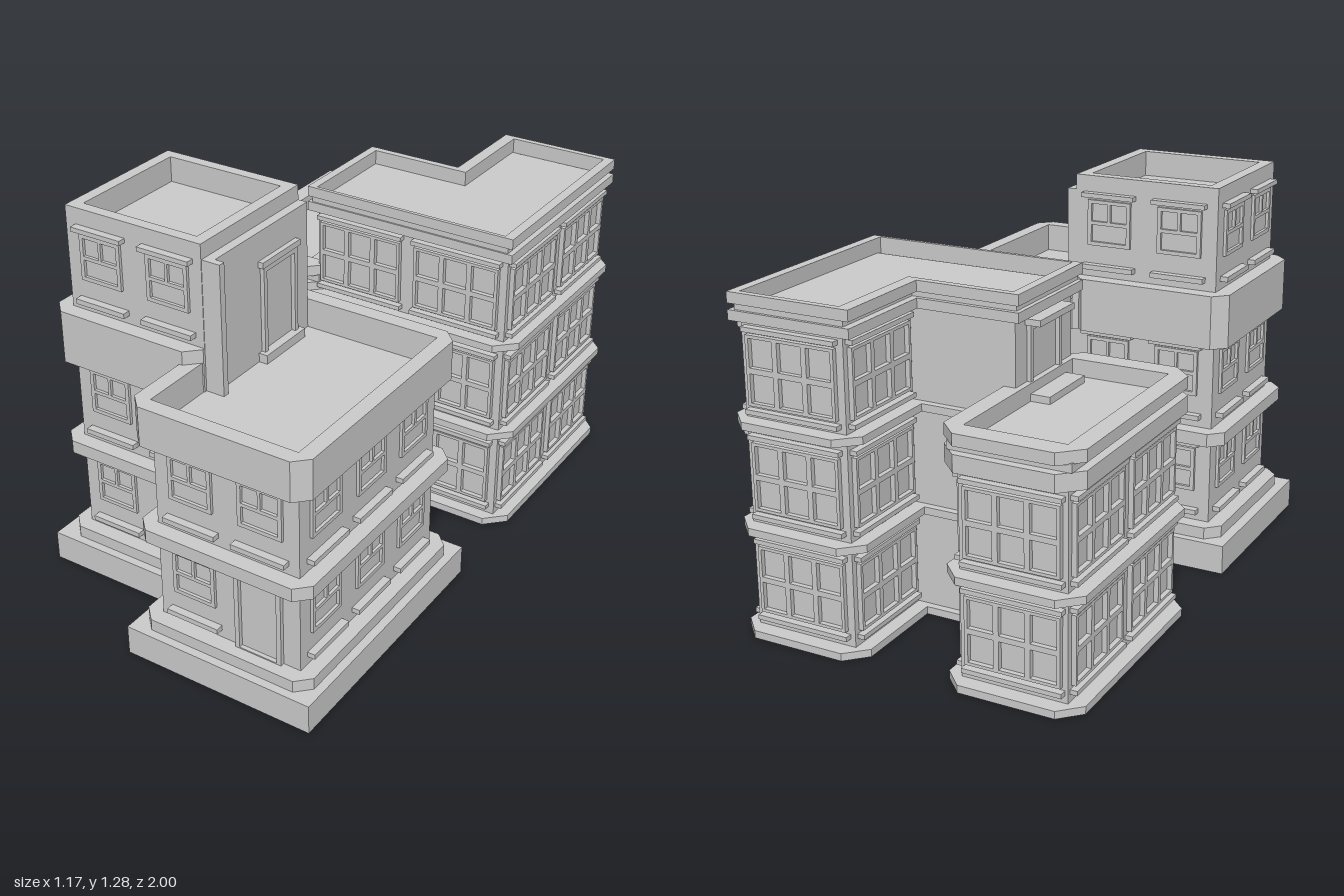
import * as THREE from 'three';

const mat = new THREE.MeshStandardMaterial({ color: 0xcccccc, flatShading: true });
const FRONT = 0, RIGHT = Math.PI / 2, BACK = Math.PI, LEFT = -Math.PI / 2;

function add(parent, name, geo) {
  const m = new THREE.Mesh(geo, mat);
  m.name = name;
  parent.add(m);
  return m;
}

// Box given by its two extreme corners
function box(parent, name, x0, x1, y0, y1, z0, z1) {
  const m = add(parent, name, new THREE.BoxGeometry(x1 - x0, y1 - y0, z1 - z0));
  m.position.set((x0 + x1) / 2, (y0 + y1) / 2, (z0 + z1) / 2);
  return m;
}

const toPoints = list => list.map(([x, z]) => new THREE.Vector2(x, -z));

// Upright prism over a plan outline in x, z, with optional hole
function prism(parent, name, outline, y0, y1, hole) {
  const s = new THREE.Shape(toPoints(outline));
  if (hole) s.holes.push(new THREE.Path(toPoints(hole)));
  const g = new THREE.ExtrudeGeometry(s, { depth: y1 - y0, bevelEnabled: false });
  g.rotateX(-Math.PI / 2).translate(0, y0, 0);
  return add(parent, name, g);
}

const rect = (x0, x1, z0, z1) => [[x0, z0], [x0, z1], [x1, z1], [x1, z0]];

// Rectangle with cut corners
const cut = (x0, x1, z0, z1, c) => [
  [x0 + c, z0], [x0, z0 + c], [x0, z1 - c], [x0 + c, z1],
  [x1 - c, z1], [x1, z1 - c], [x1, z0 + c], [x1 - c, z0]];

// Group sitting on a wall, its local +z pointing outwards
function onWall(parent, name, x, y, z, turn) {
  const g = new THREE.Group();
  g.name = name;
  g.position.set(x, y, z);
  g.rotation.y = turn;
  parent.add(g);
  return g;
}

// Flat frame of size w x h with rectangular openings [x0, x1, y0, y1]
function frame(parent, name, w, h, openings, depth) {
  const s = new THREE.Shape(toPoints(rect(-w / 2, w / 2, -h, 0)));
  for (const [a, b, c, d] of openings) s.holes.push(new THREE.Path(toPoints(rect(a, b, -d, -c))));
  return add(parent, name, new THREE.ExtrudeGeometry(s, { depth, bevelEnabled: false }));
}

// Sash window with one lower and two upper panes
function sashWindow(parent, x, y, z, turn) {
  const g = onWall(parent, 'sashWindow', x, y, z, turn);
  frame(g, 'windowFrame', 0.153, 0.153, [
    [-0.063, 0.063, 0.013, 0.07], [-0.063, -0.005, 0.082, 0.141], [0.005, 0.063, 0.082, 0.141]], 0.01);
  box(g, 'sill', -0.093, 0.093, -0.08, -0.063, -0.005, 0.026);
  box(g, 'lintel', -0.093, 0.093, 0.163, 0.178, -0.005, 0.026);
}

// Wide window: three columns by two rows
function gridWindow(parent, x, y, z, turn) {
  const g = onWall(parent, 'gridWindow', x, y, z, turn);
  const openings = [];
  for (const c of [-1, 0, 1])
    for (const r of [0, 1])
      openings.push([c * 0.102 - 0.042, c * 0.102 + 0.042, 0.01 + r * 0.109, 0.101 + r * 0.109]);
  frame(g, 'windowGrid', 0.31, 0.22, openings, 0.016);
  box(g, 'sill', -0.163, 0.163, -0.025, -0.01, -0.005, 0.024);
  box(g, 'lintel', -0.163, 0.163, 0.23, 0.245, -0.005, 0.024);
}

// Framed door; optional canopy and step
function door(parent, x, y, z, turn, w, h, extras, reach = 0.06) {
  const g = onWall(parent, 'door', x, y, z, turn);
  frame(g, 'doorFrame', w, h, [[-w / 2 + 0.016, w / 2 - 0.016, 0.004, h - 0.018]], 0.014);
  if (extras) {
    box(g, 'canopy', -w / 2 - 0.01, w / 2 + 0.01, h, h + 0.02, -0.005, reach * 0.6);
    box(g, 'step', -w / 2 - 0.015, w / 2 + 0.015, 0, 0.03, -0.005, reach);
  }
}

function frontBuilding() {
  const g = new THREE.Group();
  g.name = 'frontBuilding';
  prism(g, 'plinth', [[-0.587, 0.085], [-0.587, 0.745], [-0.08, 0.745], [-0.08, 1], [0.585, 1], [0.585, 0.085]], 0, 0.1);

  // Walls
  box(g, 'towerWalls', -0.5, 0.003, 0.1, 1.2, 0.165, 0.665);
  box(g, 'wingWalls', 0, 0.505, 0.1, 0.8, 0.165, 0.92);
  prism(g, 'towerParapet', rect(-0.5, 0.003, 0.165, 0.665), 1.2, 1.285, rect(-0.46, -0.037, 0.203, 0.627));

  // Bands with cut corners
  const tower = cut(-0.552, 0.003, 0.112, 0.717, 0.045);
  const wing = cut(-0.053, 0.556, 0.112, 0.972, 0.045);
  for (const [y0, y1] of [[0.1, 0.14], [0.43, 0.475]]) {
    prism(g, 'towerBand', tower, y0, y1);
    prism(g, 'wingBand', wing, y0, y1);
  }
  prism(g, 'towerTopBand', tower, 0.767, 0.945);
  prism(g, 'wingParapet', wing, 0.767, 0.9, rect(0, 0.505, 0.165, 0.92));

  // Roof doorway on the tower side
  box(g, 'doorwayWall', 0, 0.035, 0.78, 1.235, 0.165, 0.645);
  box(g, 'doorwayFin', 0, 0.067, 0.78, 1.235, 0.64, 0.663);
  door(g, 0.035, 0.8, 0.33, RIGHT, 0.18, 0.32, true, 0.03);

  // Windows
  const floors = [0.247, 0.585, 1.053];
  floors.forEach((y, i) => {
    for (const x of [-0.37, -0.12]) {
      sashWindow(g, x, y, 0.665, FRONT);
      sashWindow(g, x, y, 0.165, BACK);
    }
    for (const z of [0.295, 0.54]) sashWindow(g, -0.5, y, z, LEFT);
    if (i === 2) return;
    for (const z of [0.3, 0.545, 0.79]) sashWindow(g, 0.505, y, z, RIGHT);
    for (const x of [0.13, 0.375]) {
      sashWindow(g, x, y, 0.165, BACK);
      if (i === 1 || x < 0.2) sashWindow(g, x, y, 0.92, FRONT);
    }
  });
  door(g, 0.363, 0.14, 0.92, FRONT, 0.165, 0.275, false);
  return g;
}

function rearBuilding() {
  const g = new THREE.Group();
  g.name = 'rearBuilding';
  const ell = (x0, x1, xi, z0, z1, zi) => [[x0, zi], [x0, z1], [x1, z1], [x1, z0], [xi, z0], [xi, zi]];

  // Walls
  prism(g, 'tallWalls', ell(-0.18, 0.537, 0.18, -0.945, -0.232, -0.59), 0, 1.045);
  box(g, 'lowWalls', -0.537, -0.19, 0, 0.745, -0.945, -0.232);

  // Bands: cut corners on the wings, straight run between them
  const low = cut(-0.587, -0.14, -0.998, -0.188, 0.065);
  const tall = cut(0.133, 0.583, -0.998, -0.188, 0.065);
  for (const [y0, y1] of [[0, 0.025], [0.343, 0.368], [0.683, 0.708]]) {
    prism(g, 'lowBand', low, y0, y1);
    prism(g, 'tallBand', tall, y0, y1);
    box(g, 'middleBand', -0.21, 0.2, y0, y1, -0.615, -0.188);
  }

  // Low wing cornice and parapet
  prism(g, 'lowCornice', low, 0.683, 0.738);
  prism(g, 'lowParapetWall', rect(-0.56, -0.17, -0.97, -0.215), 0.738, 0.765, rect(-0.525, -0.2, -0.925, -0.26));
  prism(g, 'lowParapet', low, 0.762, 0.8, rect(-0.525, -0.2, -0.925, -0.26));

  // Tall block cornice and parapet
  const outer = ell(-0.205, 0.563, 0.14, -0.972, -0.202, -0.615);
  const inner = ell(-0.175, 0.53, 0.183, -0.95, -0.215, -0.59);
  prism(g, 'tallCornice', outer, 1.008, 1.04);
  prism(g, 'tallParapetWall', ell(-0.19, 0.545, 0.165, -0.962, -0.208, -0.6), 1.04, 1.062, inner);
  prism(g, 'tallParapet', outer, 1.06, 1.095, inner);

  // Windows
  [0.075, 0.412, 0.748].forEach((y, i) => {
    for (const x of [0.355, -0.01]) gridWindow(g, x, y, -0.232, FRONT);
    for (const z of [-0.405, -0.77]) gridWindow(g, 0.537, y, z, RIGHT);
    gridWindow(g, 0.36, y, -0.945, BACK);
    gridWindow(g, 0.18, y, -0.77, LEFT);
    if (i === 2) return;
    gridWindow(g, -0.365, y, -0.232, FRONT);
    gridWindow(g, -0.365, y, -0.945, BACK);
    gridWindow(g, -0.19, y, -0.77, RIGHT);
    for (const z of [-0.405, -0.77]) gridWindow(g, -0.537, y, z, LEFT);
  });

  // Door onto the low roof
  door(g, -0.18, 0.738, -0.42, LEFT, 0.2, 0.24, true, 0.085);
  return g;
}

export function createModel() {
  const model = new THREE.Group();
  model.name = 'twoBuildings';
  model.add(frontBuilding(), rearBuilding());
  return model;
}
